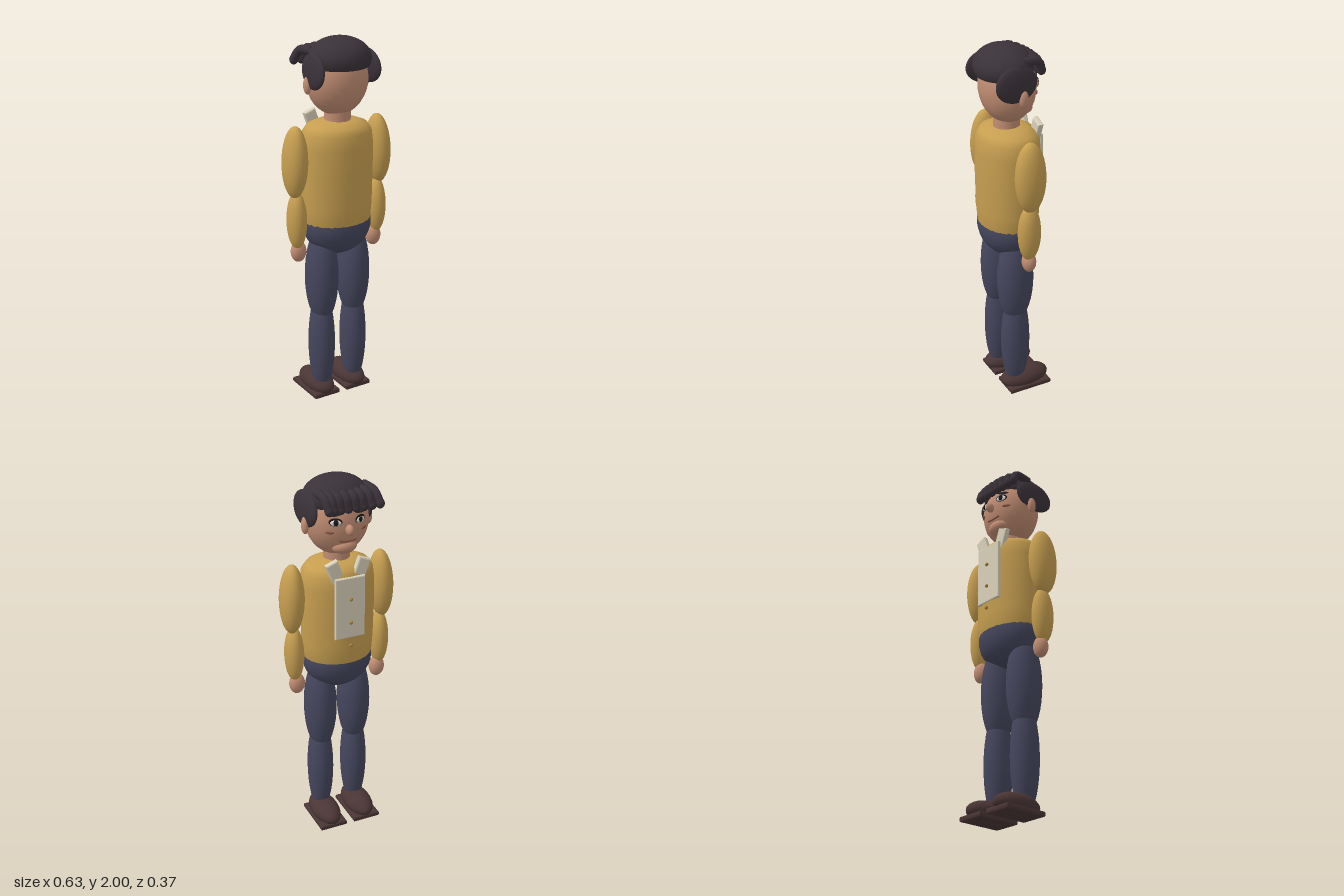
import * as THREE from 'three';

const mat = (name, color, side = THREE.FrontSide) => {
  const m = new THREE.MeshStandardMaterial({ color, side });
  m.name = name;
  return m;
};

export function createModel() {
  const model = new THREE.Group();
  model.name = 'standingMan';
  const skin = mat('skin', 0xc08c72), hair = mat('hair', 0x3a3239, THREE.DoubleSide);
  const sweater = mat('sweater', 0xc69e50), trousers = mat('trousers', 0x45465d);
  const leather = mat('shoeLeather', 0x4a3535), cream = mat('shirtCream', 0xd8d0ba);
  const gold = mat('buttonGold', 0xa8843a), white = mat('eyeWhite', 0xe8e4dc);
  const dark = mat('darkLine', 0x1c181c), blush = mat('lipBrown', 0x8a5546);

  const add = (name, geo, material, pos = [0, 0, 0], rot = [0, 0, 0], scale = [1, 1, 1]) => {
    const m = new THREE.Mesh(geo, material);
    m.name = name;
    m.position.set(...pos);
    m.rotation.set(...rot);
    m.scale.set(...scale);
    model.add(m);
    return m;
  };
  const ball = new THREE.SphereGeometry(1, 24, 18);
  const blob = (name, material, pos, radii, rot) => add(name, ball, material, pos, rot, radii);

  // Flat box with bevelled edges, centred on its middle
  const plate = (w, h, d, b) => {
    const x = w / 2 - b, y = h / 2 - b;
    const s = new THREE.Shape([[-x, -y], [x, -y], [x, y], [-x, y]].map(p => new THREE.Vector2(...p)));
    return new THREE.ExtrudeGeometry(s, { depth: d - 2 * b, bevelSize: b, bevelThickness: b, bevelSegments: 2 }).center();
  };

  // Torso and hips
  const profile = [[0.001, 1.0], [0.17, 1.005], [0.187, 1.03], [0.194, 1.12], [0.198, 1.3], [0.198, 1.44],
    [0.19, 1.51], [0.165, 1.545], [0.12, 1.563], [0.07, 1.573], [0.001, 1.575]];
  add('sweaterTorso', new THREE.LatheGeometry(profile.map(p => new THREE.Vector2(...p)), 32), sweater,
    [0, 0, 0.01], [0, 0, 0], [1, 1, 0.82]);
  blob('hips', trousers, [0, 1.005, 0.011], [0.19, 0.167, 0.154]);

  // Limbs
  for (const [side, s] of [['left', 1], ['right', -1]]) {
    blob(side + 'UpperArm', sweater, [s * 0.252, 1.375, 0.012], [0.063, 0.19, 0.084], [0, 0, s * 0.03]);
    blob(side + 'Forearm', sweater, [s * 0.245, 1.06, 0.012], [0.051, 0.158, 0.063]);
    blob(side + 'Hand', skin, [s * 0.234, 0.885, 0.007], [0.043, 0.058, 0.037]);
    blob(side + 'Thigh', trousers, [s * 0.098, 0.72, 0.015], [0.087, 0.275, 0.101]);
    blob(side + 'Shin', trousers, [s * 0.1, 0.33, 0.015], [0.07, 0.305, 0.081]);
    blob(side + 'Shoe', leather, [s * 0.1, 0.065, -0.042], [0.075, 0.062, 0.143]);
    add(side + 'Sole', plate(0.155, 0.25, 0.03, 0.009), leather, [s * 0.1, 0.028, -0.047], [Math.PI / 2, 0, 0]);
  }

  // Shirt front, collar and buttons
  add('shirtFront', plate(0.165, 0.335, 0.02, 0.005), cream, [0, 1.348, -0.145]);
  for (const s of [1, -1])
    add('collarFlap', plate(0.068, 0.13, 0.032, 0.008), cream, [s * 0.07, 1.538, -0.118], [0, 0, -s * 0.36]);
  for (const y of [1.4, 1.27, 1.14]) blob('button', gold, [0, y, -0.163], [0.01, 0.01, 0.008]);

  // Head
  add('neck', new THREE.CylinderGeometry(0.068, 0.07, 0.12, 24), skin, [0, 1.6, 0.015]);
  blob('head', skin, [0, 1.78, 0.012], [0.166, 0.187, 0.143]);
  blob('chin', skin, [0, 1.66, -0.075], [0.068, 0.04, 0.048]);
  blob('nose', skin, [0, 1.765, -0.142], [0.02, 0.028, 0.028]);

  // Depth of the face surface at a point
  const faceZ = (x, y) => 0.012 - 0.143 * Math.sqrt(1 - (x / 0.166) ** 2 - ((y - 1.78) / 0.187) ** 2);
  for (const s of [1, -1]) {
    const turn = s * -0.42;
    blob('ear', skin, [s * 0.174, 1.765, 0.01], [0.019, 0.046, 0.025]);
    blob('eyeOutline', dark, [s * 0.066, 1.808, faceZ(0.066, 1.808)], [0.034, 0.021, 0.005], [0, turn, 0]);
    blob('eyeWhite', white, [s * 0.066, 1.805, faceZ(0.066, 1.805) - 0.002], [0.028, 0.016, 0.007], [0, turn, 0]);
    blob('pupil', dark, [s * 0.066, 1.806, faceZ(0.066, 1.806) - 0.006], [0.014, 0.015, 0.006], [0, turn, 0]);
    blob('eyebrow', hair, [s * 0.07, 1.842, faceZ(0.07, 1.842) - 0.002], [0.036, 0.007, 0.007], [0, turn, s * -0.15]);
    blob('cheekMark', blush, [s * 0.092, 1.753, faceZ(0.092, 1.753)], [0.024, 0.007, 0.005], [0, s * -0.6, 0]);
  }
  const lip = [-0.045, -0.02, 0.02, 0.045].map(x => {
    const y = 1.7 + x * x * 3;
    return new THREE.Vector3(x, y, faceZ(x, y) - 0.002);
  });
  add('mouth', new THREE.TubeGeometry(new THREE.CatmullRomCurve3(lip), 12, 0.005, 6), blush);

  // Hair cap with cut-off base, and side locks
  add('hairCap', new THREE.SphereGeometry(1, 32, 16, 0, Math.PI * 2, 0, Math.PI * 0.6), hair,
    [0, 1.89, 0.034], [0.06, 0, 0], [0.17, 0.11, 0.148]);
  blob('hairBack', hair, [0, 1.89, 0.055], [0.155, 0.055, 0.122]);
  for (const s of [1, -1])
    blob('sideLock', hair, [s * 0.157, 1.84, 0.042], [0.026, 0.092, 0.118], [0, s * 0.08, s * 0.06]);

  // Fringe of curved tufts
  for (const tip of [-0.172, -0.128, -0.084, -0.042, 0, 0.04, 0.075, 0.103]) {
    const root = tip + (tip < -0.05 ? 0.028 : 0.02);
    const z = 0.04 - 0.135 * Math.sqrt(1 - (root / 0.175) ** 2);
    const end = new THREE.Vector3(tip, 1.872, -0.125);
    const curve = new THREE.CatmullRomCurve3([
      new THREE.Vector3(root, 1.935, z + 0.045),
      new THREE.Vector3((root + tip) / 2, 1.925, (z - 0.125) / 2 - 0.008), end]);
    add('fringeTuft', new THREE.TubeGeometry(curve, 10, 0.023, 10), hair);
    blob('fringeTip', hair, end.toArray(), [0.023, 0.026, 0.023]);
  }
  return model;
}
